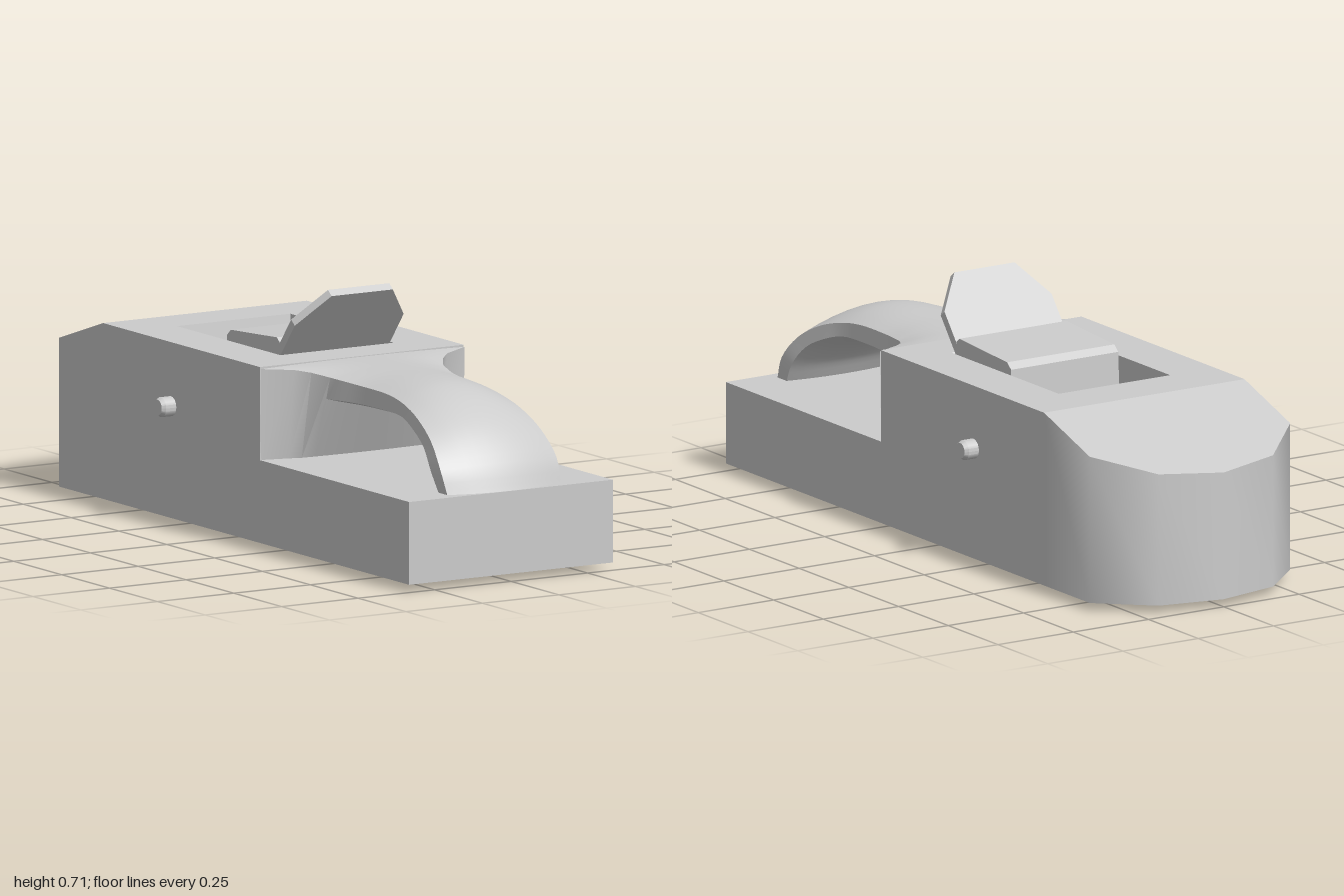
import * as THREE from 'three';
import { toCreasedNormals } from 'three/addons/utils/BufferGeometryUtils.js';

const W = 0.333, BOTTOM = 0.022, TOP = 0.517;
const shapeOf = pts => new THREE.Shape(pts.map(([a, b]) => new THREE.Vector2(a, b)));

// Extrude a plan outline of [x, z] points upwards from the sole
function extrudePlan(outline, height, hole) {
  const flip = pts => pts.map(([x, z]) => [x, -z]);
  const shape = shapeOf(flip(outline));
  if (hole) shape.holes.push(shapeOf(flip(hole)));
  const geo = new THREE.ExtrudeGeometry(shape, { depth: height, bevelEnabled: false });
  return geo.rotateX(-Math.PI / 2).translate(0, BOTTOM, 0);
}

// Move every vertex by a rule
function moveVertices(geo, rule) {
  const p = geo.attributes.position, v = new THREE.Vector3();
  for (let i = 0; i < p.count; i++) {
    v.fromBufferAttribute(p, i);
    rule(v);
    p.setXYZ(i, v.x, v.y, v.z);
  }
  return geo;
}

// Arched grip: lens-shaped cross-sections flaring into the shoulders
function gripGeometry() {
  // [half width, crown z, y, upper edge z, y, lower edge z, y, underside z, y]
  const arch = [
    [0.185, 1.0, 0.25, 0.965, 0.25, 0.92, 0.25, 0.90, 0.25],
    [0.19, 0.965, 0.33, 0.935, 0.32, 0.885, 0.31, 0.865, 0.31],
    [0.18, 0.89, 0.415, 0.87, 0.39, 0.83, 0.37, 0.81, 0.355],
    [0.168, 0.79, 0.475, 0.78, 0.44, 0.75, 0.41, 0.735, 0.388],
    [0.157, 0.69, 0.507, 0.69, 0.467, 0.68, 0.43, 0.67, 0.40],
    [0.152, 0.60, 0.516, 0.60, 0.48, 0.60, 0.433, 0.60, 0.403],
    [0.16, 0.45, 0.516, 0.45, 0.485, 0.45, 0.433, 0.45, 0.403],
    [0.185, 0.35, 0.516, 0.35, 0.493, 0.33, 0.43, 0.33, 0.403]
  ];
  const shoulder = [
    [0.215, 0.30, 0.516, 0.30, 0.502, 0.25, 0.255, 0.255, 0.25],
    [0.25, 0.267, 0.516, 0.267, 0.508, 0.238, 0.252, 0.24, 0.25],
    [W, 0.225, 0.516, 0.225, 0.512, 0.218, 0.25, 0.218, 0.25]
  ];
  const curves = [1, 3, 5, 7].map(k =>
    new THREE.CatmullRomCurve3(arch.map(s => new THREE.Vector3(s[0], s[k + 1], s[k]))));
  const sections = [];
  for (let i = 0; i <= 28; i++) sections.push(curves.map(c => c.getPoint(i / 28)));
  for (const s of shoulder)
    sections.push([1, 3, 5, 7].map(k => new THREE.Vector3(s[0], s[k + 1], s[k])));

  const N = 10, ring = 2 * (N + 1), pos = [], index = [];
  for (const [crown, upper, lower, under] of sections) {
    const arc = (mid, edge, dir) => {
      for (let i = 0; i <= N; i++) {
        const t = dir * (2 * i / N - 1), p = mid.clone().lerp(edge, t * t);
        pos.push(edge.x * t, p.y, p.z);
      }
    };
    arc(crown, upper, 1);
    arc(under, lower, -1);
  }
  for (let s = 0; s < sections.length - 1; s++)
    for (let i = 0; i < ring; i++) {
      const a = s * ring + i, b = s * ring + (i + 1) % ring;
      index.push(a, b, a + ring, b, b + ring, a + ring);
    }
  const geo = new THREE.BufferGeometry();
  geo.setAttribute('position', new THREE.Float32BufferAttribute(pos, 3));
  geo.setIndex(index);
  return toCreasedNormals(geo, 0.6);
}

export function createModel() {
  const group = new THREE.Group();
  const material = new THREE.MeshStandardMaterial({ color: 0xcccccc });
  const add = (name, geo, mat = material) => {
    const mesh = new THREE.Mesh(geo, mat);
    mesh.name = name;
    group.add(mesh);
    return mesh;
  };

  // Low front deck
  const deckHeight = 0.255 - BOTTOM;
  add('frontDeck', new THREE.BoxGeometry(2 * W, deckHeight, 0.78)
    .translate(0, BOTTOM + deckHeight / 2, 0.61));

  // Tall body with a throat that narrows to the mouth in the sole
  const body = extrudePlan(
    [[-W, 0.22], [W, 0.22], [W, -0.6], [-W, -0.6]], TOP - BOTTOM,
    [[-0.185, 0.09], [0.185, 0.09], [0.185, -0.45], [-0.185, -0.45]]);
  moveVertices(body, v => {
    if (v.y < 0.1 && Math.abs(v.x) < 0.3) v.z = v.z > 0 ? -0.305 : -0.37;
  });
  body.computeVertexNormals();
  add('body', body);

  // Rounded tail whose top slopes down
  const tail = extrudePlan(
    [[-W, -0.6], [W, -0.6], [W, -0.83], [0.19, -0.96], [0, -1], [-0.19, -0.96], [-W, -0.83]],
    TOP - BOTTOM);
  moveVertices(tail, v => {
    if (v.y > 0.1) v.y -= (-0.6 - v.z) * 0.33;
  });
  add('tail', toCreasedNormals(tail, 0.9));

  // Grip
  const gripMaterial = material.clone();
  gripMaterial.side = THREE.DoubleSide;
  add('grip', gripGeometry(), gripMaterial);

  // Slanted blade with clipped top corners
  const blade = add('blade', new THREE.ExtrudeGeometry(shapeOf([
    [-0.163, 0], [0.163, 0], [0.178, 0.02], [0.178, 0.775], [0.1, 0.885],
    [-0.1, 0.885], [-0.178, 0.775], [-0.178, 0.02]
  ]), { depth: 0.024, bevelEnabled: false }));
  blade.position.set(0, 0.015, -0.345);
  blade.rotation.x = 0.668;

  // Wedge between blade and cross pin, outline in [z, y]
  add('wedge', new THREE.ExtrudeGeometry(shapeOf([
    [0.055, 0.515], [0.075, 0.55], [0.06, 0.562], [-0.18, 0.547], [-0.2, 0.53],
    [-0.208, 0.36], [-0.35, 0.1], [-0.3, 0.07]
  ]), { depth: 0.356, bevelEnabled: false }).rotateY(-Math.PI / 2).translate(0.178, 0, 0));

  // Cross pin with chamfered ends
  const pin = new THREE.LatheGeometry([
    [0, -0.377], [0.022, -0.377], [0.028, -0.366], [0.028, 0.366], [0.022, 0.377], [0, 0.377]
  ].map(([r, y]) => new THREE.Vector2(r, y)), 20);
  add('crossPin', toCreasedNormals(pin, 0.45).rotateZ(Math.PI / 2).translate(0, 0.337, -0.245));

  return group;
}
